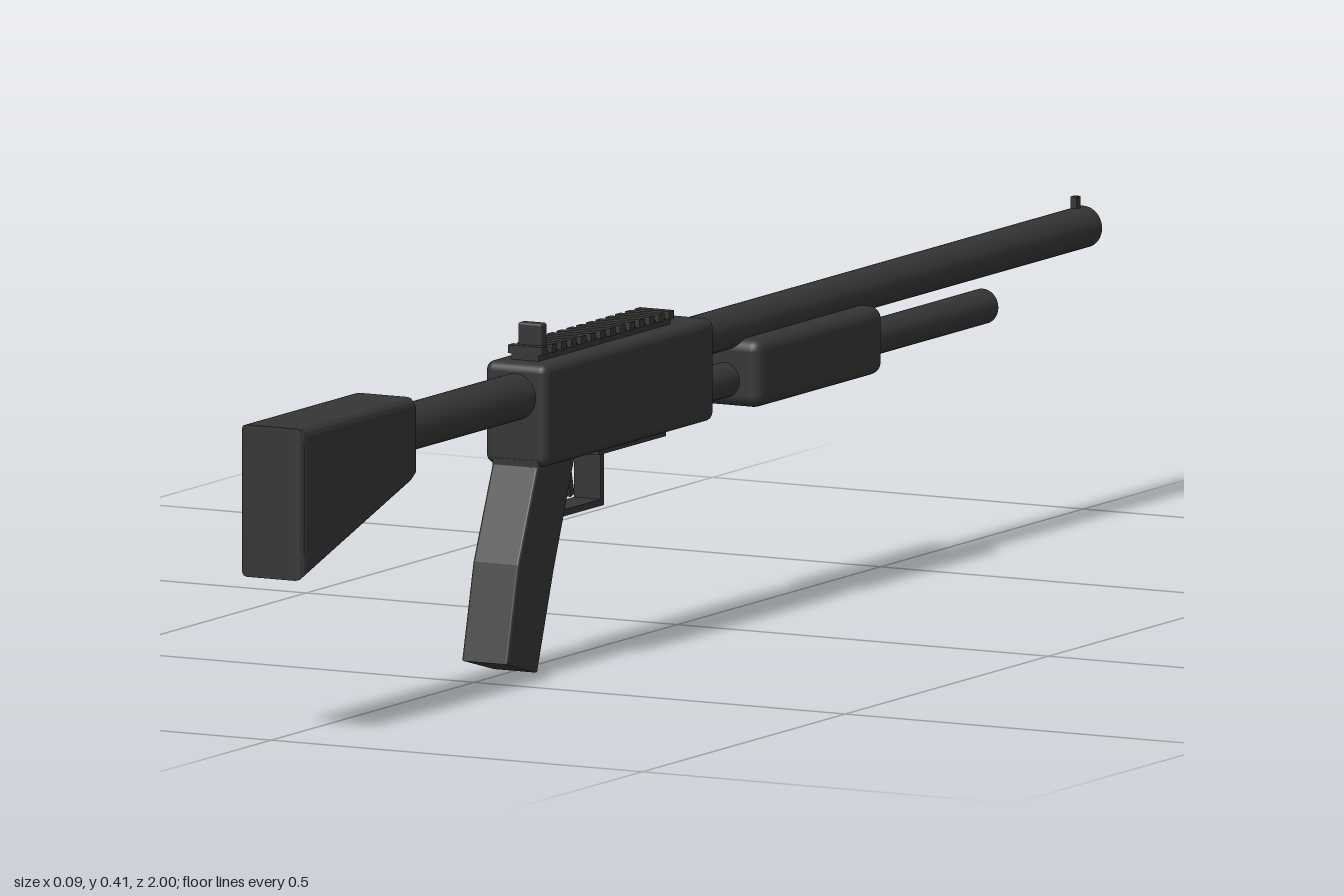
import * as THREE from 'three';
import { RoundedBoxGeometry } from 'three/addons/geometries/RoundedBoxGeometry.js';

export function createModel() {
  const model = new THREE.Group();
  model.name = 'pumpShotgunProp';
  const charcoal = new THREE.MeshStandardMaterial({ name: 'charcoal', color: 0x353535 });

  function add(name, geometry, parent = model) {
    const mesh = new THREE.Mesh(geometry, charcoal);
    mesh.name = name;
    parent.add(mesh);
    return mesh;
  }

  // Box given by its full width and its y and z ranges; r rounds the edges
  function box(name, width, y0, y1, z0, z1, r = 0, parent = model) {
    const size = [width, y1 - y0, z1 - z0];
    const geometry = r ? new RoundedBoxGeometry(...size, 3, r) : new THREE.BoxGeometry(...size);
    const mesh = add(name, geometry, parent);
    mesh.position.set(0, (y0 + y1) / 2, (z0 + z1) / 2);
    return mesh;
  }

  // Round bar lying along z
  function tube(name, radius, y, z0, z1) {
    const geometry = new THREE.CylinderGeometry(radius, radius, z1 - z0, 32);
    geometry.rotateX(Math.PI / 2);
    add(name, geometry).position.set(0, y, (z0 + z1) / 2);
  }

  // Side outline of [z, y] points, extruded across x with bevelled edges
  function sideProfile(name, points, width, bevel) {
    const shape = new THREE.Shape(points.map(([z, y]) => new THREE.Vector2(z, y)));
    const depth = width - 2 * bevel;
    const geometry = new THREE.ExtrudeGeometry(shape, {
      depth, bevelEnabled: true, bevelSize: bevel, bevelThickness: bevel,
      bevelOffset: -bevel, bevelSegments: 3,
    });
    geometry.translate(0, 0, -depth / 2);
    geometry.rotateY(-Math.PI / 2);
    return add(name, geometry);
  }

  // Shoulder stock and its connecting tube
  sideProfile('stock', [
    [1, 0.195], [1, 0.377], [0.724, 0.377], [0.715, 0.368], [0.715, 0.284], [0.728, 0.276],
  ], 0.086, 0.01);
  tube('stockTube', 0.028, 0.33, 0.39, 0.73);

  // Receiver with the loading plate underneath
  box('receiver', 0.084, 0.247, 0.37, -0.018, 0.4, 0.011);
  box('loadingPlate', 0.046, 0.239, 0.255, 0.07, 0.235);

  // Barrel, magazine tube and sliding fore-end
  tube('barrel', 0.025, 0.34, -1, 0);
  tube('magazineTube', 0.021, 0.279, -0.752, 0);
  box('foreEnd', 0.095, 0.247, 0.329, -0.425, -0.115, 0.015);

  // Angled pistol grip
  sideProfile('grip', [
    [0.4, 0.255], [0.4, 0.247], [0.447, 0.137], [0.475, 0.022],
    [0.4, 0.002], [0.359, 0.12], [0.308, 0.247], [0.308, 0.255],
  ], 0.062, 0.003);

  // Trigger guard and trigger
  const guard = new THREE.Group();
  guard.name = 'triggerGuard';
  model.add(guard);
  box('guardBottom', 0.036, 0.176, 0.184, 0.214, 0.345, 0, guard);
  box('guardFront', 0.036, 0.176, 0.252, 0.214, 0.222, 0, guard);
  const trigger = box('trigger', 0.014, 0.194, 0.236, 0.271, 0.281);
  trigger.rotation.x = 0.26;
  box('triggerPivot', 0.01, 0.228, 0.25, 0.279, 0.287);

  // Toothed top rail
  const rail = new THREE.Group();
  rail.name = 'topRail';
  model.add(rail);
  box('railBase', 0.036, 0.365, 0.379, 0.05, 0.375, 0, rail);
  const teeth = 14;
  const pitch = (0.325 - 0.013) / (teeth - 1);
  for (let i = 0; i < teeth; i++) {
    const z = 0.05 + i * pitch;
    box('railTooth', 0.046, 0.377, 0.387, z, z + 0.013, 0, rail);
  }

  // Rear and front sights
  box('rearSight', 0.032, 0.38, 0.413, 0.349, 0.364, 0.003);
  box('frontSight', 0.008, 0.36, 0.379, -0.985, -0.975);

  return model;
}
